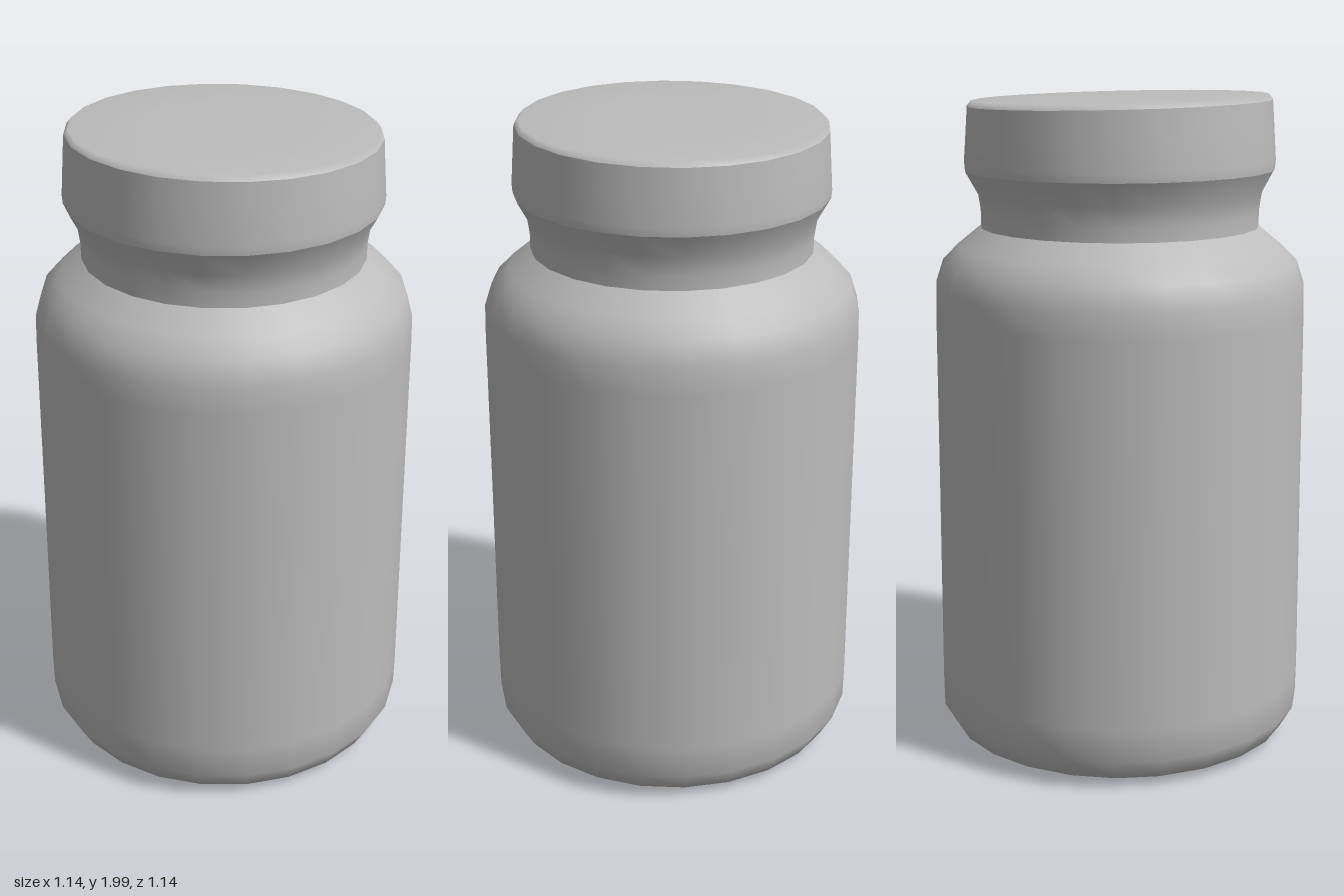
import * as THREE from 'three';

const SIDES = 24;

// Revolve a profile of [radius, height] pairs, listed from bottom to top
function turned(name, profile, material) {
  const points = profile.map(([r, y]) => new THREE.Vector2(r, y));
  const geometry = new THREE.LatheGeometry(points, SIDES);
  // The lid sits slightly crooked: lower towards +x
  const p = geometry.attributes.position;
  for (let i = 0; i < p.count; i++) {
    const lift = THREE.MathUtils.smoothstep(p.getY(i), 1.7, 1.95);
    p.setY(i, p.getY(i) - 0.024 * p.getX(i) * lift);
  }
  const mesh = new THREE.Mesh(geometry, material);
  mesh.name = name;
  return mesh;
}

export function createModel() {
  const grey = new THREE.MeshStandardMaterial({ color: 0xbcbcbc });
  grey.name = 'plain grey';

  const jar = new THREE.Group();
  jar.name = 'jar';

  // Base with a rounded rim, straight wall and sloping shoulder
  jar.add(turned('body', [
    [0, 0.005], [0.3, 0.005], [0.48, 0.01], [0.53, 0.035], [0.568, 0.1],
    [0.57, 0.2], [0.567, 0.8], [0.565, 1.35], [0.563, 1.43], [0.54, 1.5],
    [0.49, 1.55], [0.422, 1.605],
  ], grey));

  // Neck running up under the lid
  jar.add(turned('neck', [
    [0.422, 1.605], [0.422, 1.65], [0.43, 1.705], [0.468, 1.775],
  ], grey));

  // Lid rim, tapering a little towards the top
  jar.add(turned('lidRim', [
    [0.468, 1.775], [0.47, 1.8], [0.463, 1.9], [0.458, 1.972],
  ], grey));

  // Lid top with a narrow bevel
  jar.add(turned('lidTop', [
    [0.458, 1.972], [0.445, 1.988], [0.25, 1.991], [0, 1.991],
  ], grey));

  return jar;
}
